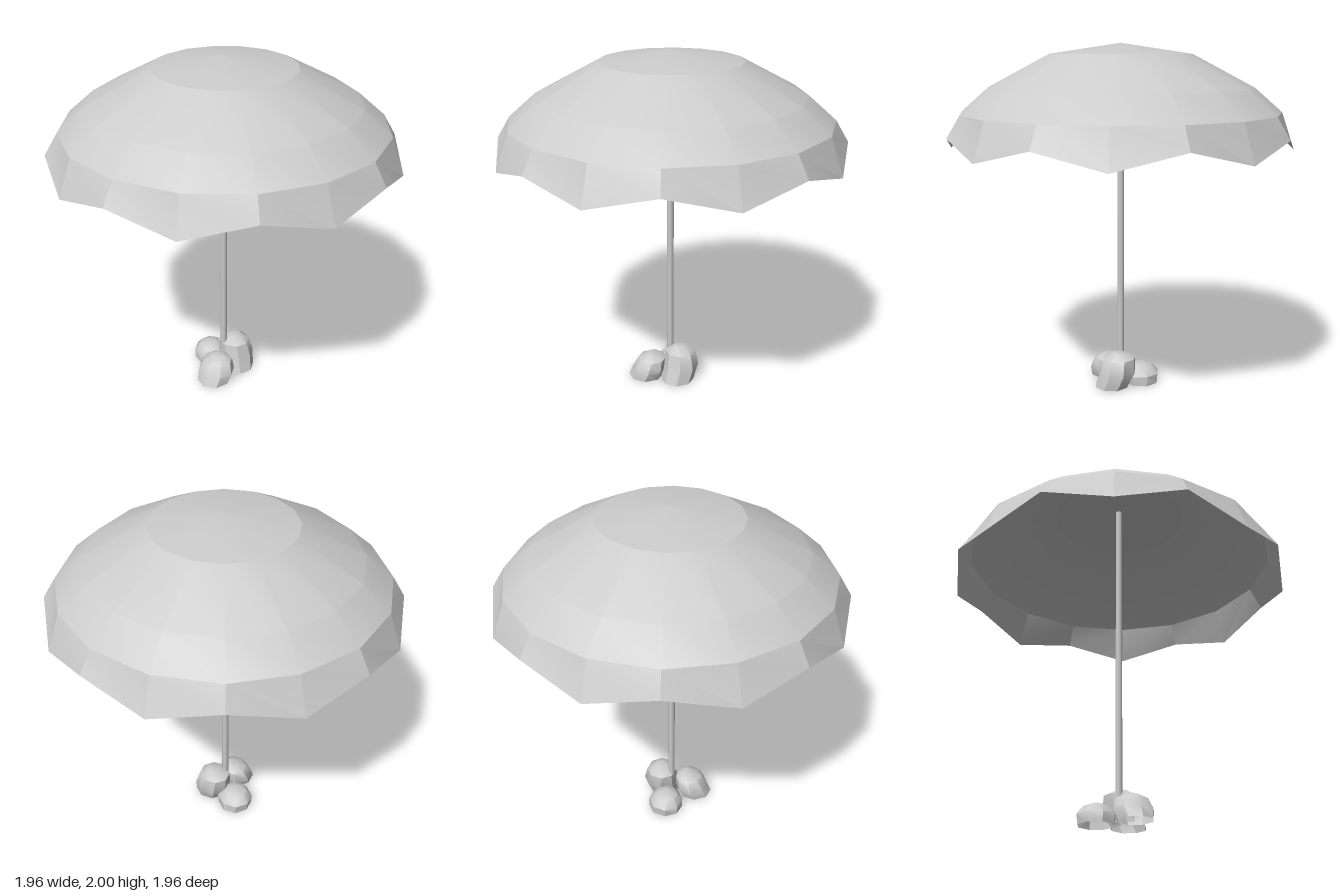
import * as THREE from 'three';
import { toCreasedNormals } from 'three/addons/utils/BufferGeometryUtils.js';

const material = new THREE.MeshStandardMaterial({ color: 0xcccccc, side: THREE.DoubleSide });

function addMesh(group, name, geometry) {
  const mesh = new THREE.Mesh(geometry, material);
  mesh.name = name;
  group.add(mesh);
  return mesh;
}

// Open-bottomed stone lofted through rings given as [y, xMin, xMax, zMin, zMax]
function stoneGeometry(rings, sides = 8) {
  const positions = [];
  const index = [];
  rings.forEach(([y, x0, x1, z0, z1]) => {
    for (let i = 0; i < sides; i++) {
      const a = (i / sides) * Math.PI * 2;
      positions.push(
        (x0 + x1) / 2 + ((x1 - x0) / 2) * Math.cos(a),
        y,
        (z0 + z1) / 2 + ((z1 - z0) / 2) * Math.sin(a)
      );
    }
  });
  for (let j = 0; j < rings.length - 1; j++) {
    for (let i = 0; i < sides; i++) {
      const a = j * sides + i;
      const b = j * sides + ((i + 1) % sides);
      index.push(a, a + sides, b + sides, a, b + sides, b);
    }
  }
  // top cap
  const last = (rings.length - 1) * sides;
  for (let i = 1; i < sides - 1; i++) index.push(last, last + i + 1, last + i);
  const geometry = new THREE.BufferGeometry();
  geometry.setAttribute('position', new THREE.Float32BufferAttribute(positions, 3));
  geometry.setIndex(index);
  return toCreasedNormals(geometry, 0.7);
}

export function createModel() {
  const group = new THREE.Group();
  group.name = 'parasol';

  // Canopy: faceted dome whose rim dips at every second corner
  const profile = [[0.978, 1.5], [0.905, 1.62], [0.75, 1.755], [0.4, 1.94], [0, 2]]
    .map(([r, y]) => new THREE.Vector2(r, y));
  const dome = new THREE.LatheGeometry(profile, 16);
  const pos = dome.attributes.position;
  for (let i = 0; i <= 16; i++) {
    if (i % 2) pos.setY(i * profile.length, 1.41);
  }
  addMesh(group, 'canopy', toCreasedNormals(dome, 0.27));

  // Pole
  const pole = addMesh(group, 'pole', new THREE.CylinderGeometry(0.02, 0.02, 1.97, 8));
  pole.position.set(-0.004, 1.0, 0.006);

  // Stones heaped around the foot of the pole
  const stones = {
    frontStone: [
      [0, -0.07, 0.13, 0.05, 0.26],
      [0.06, -0.085, 0.145, 0.03, 0.235],
      [0.12, -0.06, 0.12, 0.03, 0.2],
      [0.15, -0.01, 0.07, 0.07, 0.14],
    ],
    backStone: [
      [0, -0.03, 0.17, -0.14, 0.06],
      [0.09, -0.07, 0.15, -0.167, 0.045],
      [0.175, -0.07, 0.125, -0.148, 0.035],
      [0.21, 0, 0.07, -0.1, -0.02],
    ],
    sideStone: [
      [0, -0.225, -0.02, -0.13, 0.08],
      [0.055, -0.232, -0.01, -0.13, 0.08],
      [0.1, -0.195, -0.05, -0.09, 0.05],
      [0.115, -0.15, -0.09, -0.05, 0.01],
    ],
  };
  for (const [name, rings] of Object.entries(stones)) addMesh(group, name, stoneGeometry(rings));

  return group;
}
